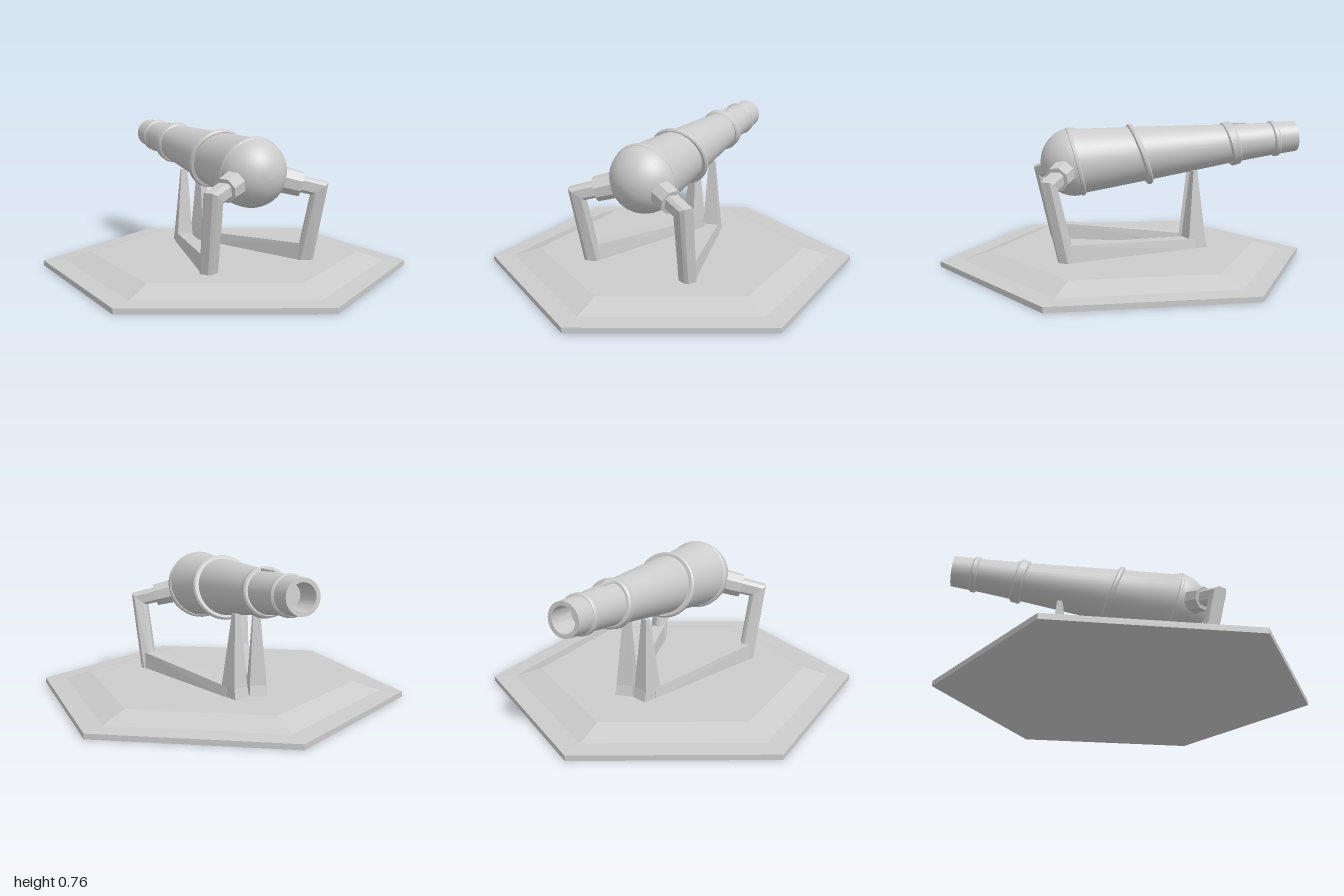
import * as THREE from 'three';
import { ConvexGeometry } from 'three/addons/geometries/ConvexGeometry.js';
import { toCreasedNormals } from 'three/addons/utils/BufferGeometryUtils.js';

const material = new THREE.MeshStandardMaterial({ color: 0xcccccc });
const flatMaterial = new THREE.MeshStandardMaterial({ color: 0xcccccc, flatShading: true });
const V = (x, y, z) => new THREE.Vector3(x, y, z);

function add(parent, name, geometry, mat = material) {
  const mesh = new THREE.Mesh(geometry, mat);
  mesh.name = name;
  parent.add(mesh);
  return mesh;
}

function lathe(profile, segments) {
  const points = profile.map(([r, y]) => new THREE.Vector2(r, y));
  return toCreasedNormals(new THREE.LatheGeometry(points, segments), 0.6);
}

// Cross-section with chamfered corners, spanned by two half-axes
function section(centre, a, b, chamfer = 0.6) {
  const points = [];
  for (const i of [-1, 1]) for (const j of [-1, 1]) {
    points.push(centre.clone().addScaledVector(a, i).addScaledVector(b, j * chamfer));
    points.push(centre.clone().addScaledVector(a, i * chamfer).addScaledVector(b, j));
  }
  return points;
}

// Solid hull, mirrored to the given side
const hull = (points, side = 1) => new ConvexGeometry(points.map(p => V(p.x * side, p.y, p.z)));

export function createModel() {
  const model = new THREE.Group();

  // Hexagonal plinth with a bevelled raised platform
  add(model, 'base', lathe([[0, 0], [1, 0], [1, 0.028], [0.88, 0.032], [0.735, 0.076], [0, 0.076]], 6), flatMaterial);

  // Tapered barrel with a round breech and a bored muzzle
  const breech = V(0, 0.553, 0.273);
  const barrel = new THREE.Group();
  barrel.name = 'barrel';
  barrel.position.copy(breech);
  barrel.rotation.x = -(Math.PI / 2 - 0.0975);
  model.add(barrel);

  const profile = [];
  for (let i = 0; i <= 12; i++) {
    const t = (i / 12) * Math.PI / 2;
    profile.push([0.185 * Math.sin(t), -0.185 * Math.cos(t)]);
  }
  profile.push([0.174, 0.03], [0.149, 0.353], [0.106, 0.865], [0.09, 1.1],
    [0.084, 1.235], [0.064, 1.235], [0.058, 1.1], [0, 1.1]);
  add(barrel, 'barrelBody', lathe(profile, 36));

  // Slightly tilted reinforcing bands: position, radius, width, tilt in degrees
  const bands = [[0, 0.188, 0.028, 8], [0.353, 0.174, 0.03, 14], [0.865, 0.122, 0.055, 10], [1.113, 0.099, 0.036, 3]];
  for (const [y, r, w, tilt] of bands) {
    const h = w / 2, c = 0.008, inner = r - 0.035;
    const ring = add(barrel, 'barrelBand', lathe(
      [[inner, -h], [r - c, -h], [r, -h + c], [r, h - c], [r - c, h], [inner, h], [inner, -h]], 36));
    ring.position.y = y;
    ring.rotation.x = THREE.MathUtils.degToRad(tilt);
  }

  // Pointed sight on the front band
  add(model, 'sight', hull([
    V(-0.027, 0.753, -0.575), V(0.027, 0.753, -0.575), V(0, 0.75, -0.68),
    V(-0.027, 0.7, -0.575), V(0.027, 0.7, -0.575), V(0, 0.7, -0.68)]));

  // Mirrored support frames
  const elbow = V(0.315, 0.465, 0.435);
  const out = elbow.clone().sub(breech).normalize();
  const across = V(-0.462, 0, 0.887);
  const flatOut = V(0.887, 0, 0.462);
  const up = V(0, 1, 0);
  const railDir = V(0.28, 0, 0.96), railSide = V(0.96, 0, -0.28);

  for (const side of [1, -1]) {
    const frame = new THREE.Group();
    frame.name = side > 0 ? 'leftFrame' : 'rightFrame';
    model.add(frame);

    // Octagonal socket on the breech
    const outward = V(out.x * side, out.y, out.z);
    const socket = add(frame, 'socket', new THREE.CylinderGeometry(0.066, 0.07, 0.11, 8), flatMaterial);
    socket.position.copy(breech).addScaledVector(outward, 0.21);
    socket.quaternion.setFromUnitVectors(up, outward);

    // Arm bending at the elbow into the rear leg
    const start = section(breech.clone().addScaledVector(out, 0.22), across.clone().multiplyScalar(0.042), up.clone().multiplyScalar(0.042));
    const bend = section(elbow, across.clone().multiplyScalar(0.04),
      flatOut.clone().multiplyScalar(0.043).addScaledVector(up, 0.03));
    const foot = section(V(0.292, 0.07, 0.345), across.clone().multiplyScalar(0.038), flatOut.clone().multiplyScalar(0.042));
    add(frame, 'arm', hull([...start, ...bend], side));
    add(frame, 'rearLeg', hull([...bend, ...foot], side));

    // Low rail running to the forward post
    const railEnd = (x, z, half, top) => [-1, 1].flatMap(k => [0.07, top].map(y =>
      V(x, y, z).addScaledVector(railSide, k * (y > 0.1 ? half - 0.008 : half))));
    add(frame, 'rail', hull([...railEnd(0.29, 0.35, 0.042, 0.165), ...railEnd(0.07, -0.36, 0.046, 0.128)], side));

    // Tapered post that carries the barrel
    const level = (x, y, z, w, d) => section(V(x, y, z), railSide.clone().multiplyScalar(w), railDir.clone().multiplyScalar(d), 1);
    const base = level(0.064, 0.07, -0.37, 0.045, 0.065);
    const waist = level(0.062, 0.13, -0.37, 0.043, 0.05);
    const top = level(0.055, 0.5, -0.37, 0.018, 0.012);
    add(frame, 'postFoot', hull([...base, ...waist], side));
    add(frame, 'post', hull([...waist, ...top], side));
  }
  return model;
}
